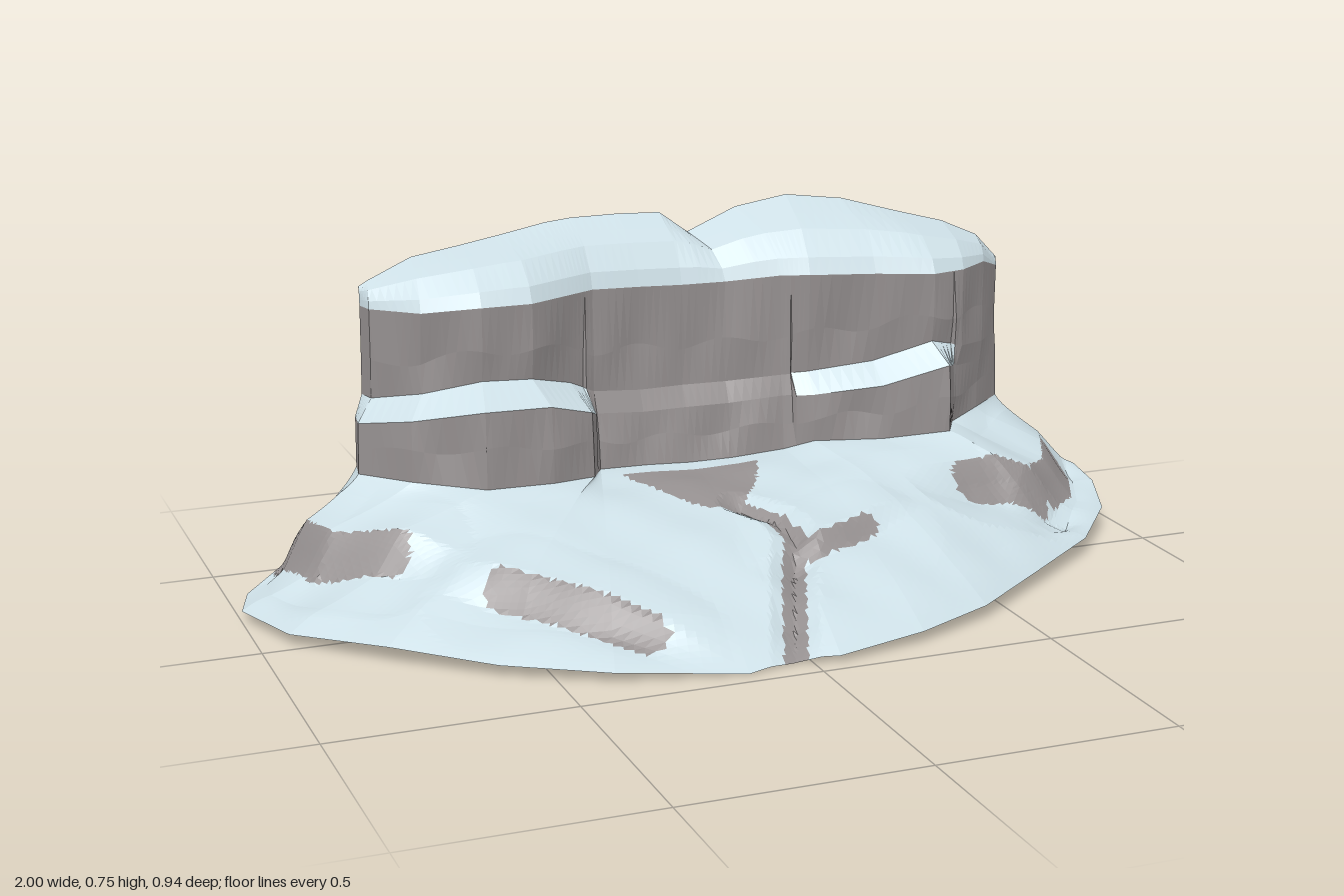
import * as THREE from 'three';

const snow = new THREE.MeshStandardMaterial({ color: 0xcddfe6, side: THREE.DoubleSide, flatShading: true });
snow.name = 'snow';
const rock = new THREE.MeshStandardMaterial({ color: 0x959090, side: THREE.DoubleSide, flatShading: true });
rock.name = 'rock';

// Each rail runs from -x to +x with 17 matching points.
const outline = [[-.88, .06, -.36], [-.97, .035, -.28], [-1, .03, -.19], [-.94, .03, -.02], [-.78, .04, .15], [-.6, .03, .3],
  [-.4, .025, .41], [-.14, .005, .46], [-.03, .015, .44], [.05, .02, .47], [.25, .03, .43], [.43, .035, .35],
  [.62, .04, .21], [.82, .045, .06], [.95, .055, -.1], [.99, .08, -.22], [1, .09, -.33]];
const base = [[-.7, .25, -.4], [-.71, .25, -.34], [-.62, .25, -.24], [-.48, .24, -.16], [-.33, .235, -.17], [-.23, .23, -.2],
  [-.19, .22, -.28], [-.08, .215, -.29], [.02, .21, -.29], [.12, .21, -.29], [.24, .22, -.28], [.3, .24, -.25],
  [.45, .24, -.21], [.6, .25, -.18], [.64, .25, -.25], [.73, .26, -.31], [.82, .26, -.39]];
const wall = [[-.68, .6, -.4], [-.67, .6, -.36], [-.58, .6, -.28], [-.46, .61, -.24], [-.35, .61, -.24], [-.25, .61, -.29],
  [-.19, .61, -.32], [-.08, .605, -.33], [.02, .6, -.335], [.12, .6, -.33], [.24, .61, -.3], [.3, .61, -.28],
  [.45, .605, -.26], [.58, .6, -.23], [.66, .6, -.25], [.74, .6, -.31], [.81, .57, -.385]];
const back = [[-.68, .64, -.405], [-.66, .65, -.41], [-.56, .69, -.425], [-.45, .705, -.435], [-.35, .72, -.445], [-.25, .735, -.46],
  [-.19, .74, -.465], [-.08, .74, -.47], [.02, .735, -.475], [.08, .69, -.46], [.2, .735, -.475], [.32, .755, -.47],
  [.45, .74, -.455], [.58, .705, -.43], [.68, .68, -.41], [.76, .645, -.395], [.81, .59, -.388]];
const rimHeight = [.36, .36, .38, .405, .4, .37, .34, .33, .33, .33, .34, .345, .36, .4, .38, .37, .37];

const SUB = 12, COLS = (outline.length - 1) * SUB;
const mix = (a, b, t) => a + (b - a) * t;
const mixPoint = (p, q, t) => p.map((v, i) => mix(v, q[i], t));
const clamp = THREE.MathUtils.clamp;

function rail(points, c) {
  const i = Math.min(Math.floor(c / SUB), points.length - 2);
  return mixPoint(points[i], points[i + 1], c / SUB - i);
}

// Distance to a polyline, plus the signed offset (positive on the cliff side)
function near(path, x, z) {
  let best = { d: Infinity, s: 0 };
  for (let i = 0; i + 1 < path.length; i++) {
    const [ax, az] = path[i], dx = path[i + 1][0] - ax, dz = path[i + 1][1] - az;
    const len = Math.hypot(dx, dz);
    const t = clamp(((x - ax) * dx + (z - az) * dz) / (len * len), 0, 1);
    const d = Math.hypot(x - ax - t * dx, z - az - t * dz);
    if (d < best.d) best = { d, s: -(dx * (z - az) - dz * (x - ax)) / len };
  }
  return best;
}

// Rocky steps in the snow slope, and the crack
const steps = [
  { path: [[-.54, .12], [-.45, .2], [-.3, .34]], width: .034, rise: .03, drop: 0 },
  { path: [[-.87, -.34], [-.83, -.19], [-.7, -.08]], width: .03, rise: .035, drop: 0 },
  { path: [[.59, -.06], [.67, -.07], [.75, -.06]], width: .036, rise: .032, drop: .025 },
  { path: [[.8, -.1], [.87, -.17], [.91, -.26]], width: .034, rise: .032, drop: .005 },
  { path: [[.12, .165], [.2, .14], [.27, .11]], width: .022, rise: .018, drop: 0 },
];
const crack = [[.04, -.04], [.09, .04], [.1, .12], [.05, .23], [-.04, .46]];

// Height rises fast then levels off in the middle, and almost evenly at the sides
function slopePoint(c, t) {
  const o = rail(outline, c), b = rail(base, c);
  const [x, , z] = mixPoint(o, b, t);
  const power = .85 + 1.25 * Math.sin(Math.PI * c / COLS) ** 2;
  let y = mix(o[1], b[1], 1 - Math.pow(1 - t, power));
  const fade = Math.min(1, t * 6, (1 - t) * 6);
  for (const { path, width, rise, drop } of steps) {
    const { d, s } = near(path, x, z);
    y += fade * (rise * clamp(s / width, -1, 1) - drop) * Math.max(0, 1 - d / .16);
  }
  y -= Math.min(1, (1 - t) * 6) * .03 * Math.max(0, 1 - near(crack, x, z).d / .05) * Math.min(1, t * 6 + .3);
  y += fade * .005 * Math.sin(19 * x + 5 * z) * Math.cos(23 * z - 7 * x);
  return [x, y, z];
}

function slopeIsRock(x, z) {
  if (steps.some(({ path, width }) => near(path, x, z).d < width)) return true;
  if (near(crack, x, z).d < .024) return true;
  return z > -.24 && z < -.03 && Math.abs(x) < .16 * Math.sqrt((-.03 - z) / .21);
}

// Builds a sheet from rows of points and splits its faces into snow and rock meshes
function addSheet(group, name, rows, isRock) {
  const faces = { Snow: [], Rock: [] };
  for (let r = 0; r + 1 < rows.length; r++) {
    for (let c = 0; c + 1 < rows[r].length; c++) {
      const p = rows[r][c], q = rows[r][c + 1], s = rows[r + 1][c + 1], u = rows[r + 1][c];
      const tris = (r + c) % 2 ? [[p, q, s], [p, s, u]] : [[p, q, u], [q, s, u]];
      for (const tri of tris) {
        const x = (tri[0][0] + tri[1][0] + tri[2][0]) / 3, z = (tri[0][2] + tri[1][2] + tri[2][2]) / 3;
        faces[isRock(x, z, r, c) ? 'Rock' : 'Snow'].push(...tri.flat());
      }
    }
  }
  for (const [kind, list] of Object.entries(faces)) {
    if (!list.length) continue;
    const geometry = new THREE.BufferGeometry();
    geometry.setAttribute('position', new THREE.Float32BufferAttribute(list, 3));
    geometry.computeVertexNormals();
    const mesh = new THREE.Mesh(geometry, kind === 'Rock' ? rock : snow);
    mesh.name = name + kind;
    group.add(mesh);
  }
}

const makeRow = (fn) => Array.from({ length: COLS + 1 }, (_, c) => fn(c));

export function createModel() {
  const group = new THREE.Group();
  group.name = 'snowyCliff';

  // Fan-shaped snow slope
  const SLOPE = 60;
  const slopeRows = Array.from({ length: SLOPE + 1 }, (_, r) => makeRow((c) => slopePoint(c, r / SLOPE)));
  addSheet(group, 'slope', slopeRows, slopeIsRock);

  // Cliff wall with a ledge on each side
  const hasLedge = (c) => c < 5.6 * SUB || (c > 10.4 * SUB && c < 13.7 * SUB);
  const rim = (c) => {
    const i = Math.min(Math.floor(c / SUB), rimHeight.length - 2);
    const y = mix(rimHeight[i], rimHeight[i + 1], c / SUB - i);
    const [x, , z] = mixPoint(rail(base, c), rail(wall, c), hasLedge(c) ? .08 : .5);
    return [x, y, z];
  };
  const ledgeBack = (c) => {
    const w = rail(wall, c);
    return [w[0], rim(c)[1] + .045, w[2] - (hasLedge(c) ? .01 : 0)];
  };
  const rough = ([x, y, z], a) => [x, y + a * Math.sin(31 * x + 9 * y), z + a * Math.sin(27 * x + 21 * y) * Math.cos(13 * x - 17 * y)];
  const wallRows = [
    makeRow((c) => rail(base, c)),
    makeRow((c) => rough(mixPoint(rail(base, c), rim(c), .5), .008)),
    makeRow(rim),
    makeRow(ledgeBack),
    makeRow((c) => rough(mixPoint(ledgeBack(c), rail(wall, c), .4), .01)),
    makeRow((c) => rail(wall, c)),
  ];
  addSheet(group, 'cliff', wallRows, (x, z, r, c) => !(r === 2 && hasLedge(c)));

  // Snow cap leaning back over the top
  const capRow = (t, lift) => makeRow((c) => {
    const p = mixPoint(rail(wall, c), rail(back, c), t);
    p[1] += lift * Math.min(1, (rail(back, c)[1] - .59) * 8);
    return p;
  });
  addSheet(group, 'cap', [capRow(0, 0), capRow(.08, .025), capRow(.35, .04), capRow(.65, .022), capRow(1, 0)], () => false);

  return group;
}
